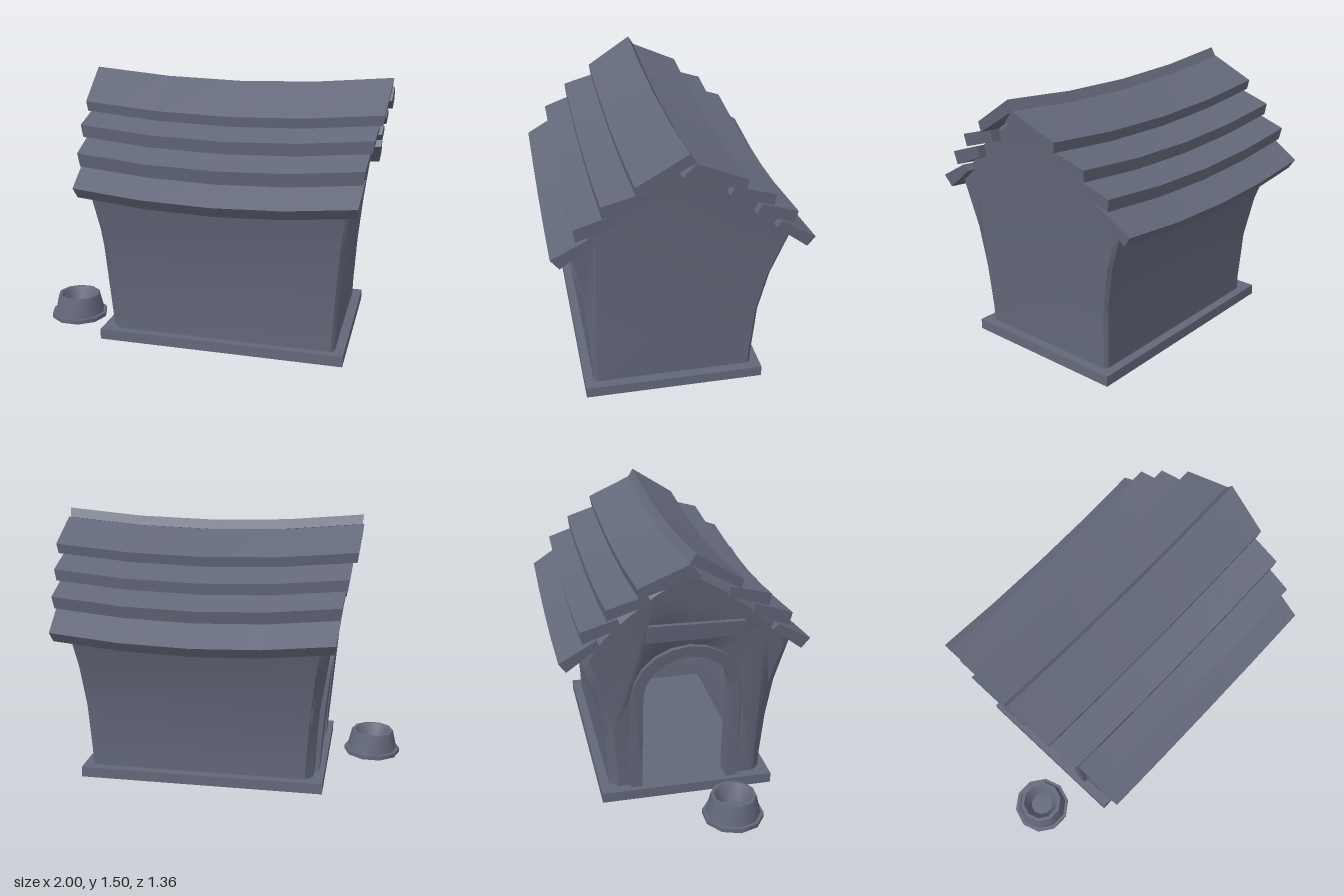
import * as THREE from 'three';
import { toCreasedNormals } from 'three/addons/utils/BufferGeometryUtils.js';

const material = new THREE.MeshStandardMaterial({ color: 0x63687a, side: THREE.DoubleSide });
const MID_X = 0.13;

// Outline of the house as [z, y]: wall profiles and gable slopes
const frontWall = [[0.476, 0], [0.478, 0.15], [0.496, 0.41], [0.526, 0.65], [0.592, 0.92]];
const backWall = [[-0.411, 0], [-0.415, 0.15], [-0.432, 0.43], [-0.48, 0.67], [-0.567, 0.925]];
const frontSlope = [[0.464, 1.08], [0.345, 1.2], [0.2, 1.31]];
const backSlope = [[-0.464, 1.075], [-0.345, 1.19], [-0.2, 1.31]];
const outline = [...frontWall, ...frontSlope, [0, 1.435], ...[...backWall, ...backSlope].reverse()];

// Smooth along curves, sharp at corners
function add(group, name, geometry) {
  const mesh = new THREE.Mesh(toCreasedNormals(geometry, 0.7), material);
  mesh.name = name;
  group.add(mesh);
  return mesh;
}

// Lean the end walls outward, more strongly towards the ridge
function flare(geometry) {
  const p = geometry.attributes.position;
  for (let i = 0; i < p.count; i++) {
    const amount = Math.pow(Math.max(0, p.getY(i)) / 0.9, 1.7);
    const x = p.getX(i);
    p.setX(i, x + (x < MID_X ? -0.083 : 0.06) * amount);
  }
  return geometry;
}

// Extrude a [z, y] outline along x, from x0 to x1, with optional chamfer
function extrudeX(points, x0, x1, chamfer = 0) {
  const shape = new THREE.Shape(points.map(([z, y]) => new THREE.Vector2(z, y)));
  const geometry = new THREE.ExtrudeGeometry(shape, {
    depth: x1 - x0 - 2 * chamfer,
    bevelEnabled: chamfer > 0,
    bevelThickness: chamfer,
    bevelSize: chamfer,
    bevelOffset: -chamfer,
    bevelSegments: 1,
  });
  geometry.rotateY(-Math.PI / 2);
  geometry.translate(x1 - chamfer, 0, 0);
  return flare(geometry);
}

// Doorway line: up one leg, over the arch, down the other
function archPoints(halfWidth, bottom) {
  const centre = 0.015, spring = 0.65, segments = 10;
  const points = [bottom, 0.25, 0.45].map((y) => [centre - halfWidth, y]);
  for (let i = 0; i <= segments; i++) {
    const a = Math.PI * (1 - i / segments);
    points.push([centre + halfWidth * Math.cos(a), spring + halfWidth * Math.sin(a)]);
  }
  [0.45, 0.25, bottom].forEach((y) => points.push([centre + halfWidth, y]));
  return points;
}

// Sagging roof board; corners are [z, y]: outer top, inner top, inner bottom, outer bottom
function roofBoard([outerTop, innerTop, innerBottom, outerBottom], side, halfLength) {
  const geometry = new THREE.BoxGeometry(2, 2, 2, 4, 1, 1);
  const p = geometry.attributes.position;
  for (let i = 0; i < p.count; i++) {
    const u = p.getX(i);
    const top = p.getY(i) > 0;
    const outer = p.getZ(i) * side > 0;
    const [z, y] = outer ? (top ? outerTop : outerBottom) : (top ? innerTop : innerBottom);
    const half = halfLength - (innerTop[1] - y) * 0.13;
    p.setXYZ(i, MID_X + u * half, y - 0.05 * (1 - u * u), z);
  }
  return geometry;
}

export function createModel() {
  const model = new THREE.Group();
  model.name = 'kennel';

  // Floor slab
  add(model, 'floor', new THREE.BoxGeometry(1.4, 0.06, 0.988)).position.set(MID_X, 0.03, 0.03);

  // Long walls
  for (const [name, wall, side] of [['frontWall', frontWall, 1], ['backWall', backWall, -1]]) {
    const inner = wall.map(([z, y]) => [z - side * 0.06, y]).reverse();
    add(model, name, extrudeX([...wall, ...inner], -0.466, 0.759));
  }

  // Gable walls: plain one, and one with the doorway cut out
  add(model, 'plainGable', extrudeX(outline, 0.741, 0.777, 0.0175));
  add(model, 'doorGable', extrudeX([...outline, ...archPoints(0.25, 0)], -0.512, -0.421, 0.045));

  // Arched door frame
  const frame = [...archPoints(0.31, 0.05), ...archPoints(0.245, 0.05).reverse()];
  add(model, 'doorFrame', extrudeX(frame, -0.54, -0.425));

  // Blank board above the door
  const board = [[-0.22, 1.0], [0.3, 1.0], [0.31, 1.09], [-0.21, 1.1]];
  add(model, 'doorBoard', extrudeX(board, -0.54, -0.48));

  // Overlapping roof boards, ridge to eaves
  const halfLengths = [0.86, 0.815, 0.787, 0.775];
  const frontBoards = [
    [[0.27, 1.343], [0.014, 1.504], [-0.018, 1.454], [0.262, 1.287]],
    [[0.432, 1.24], [0.209, 1.3], [0.2, 1.243], [0.424, 1.17]],
    [[0.564, 1.11], [0.353, 1.183], [0.345, 1.12], [0.552, 1.035]],
    [[0.68, 0.944], [0.492, 1.048], [0.464, 1.016], [0.635, 0.883]],
  ];
  const backBoards = [
    [[-0.28, 1.339], [-0.014, 1.454], [0.046, 1.382], [-0.27, 1.283]],
    [[-0.435, 1.223], [-0.221, 1.29], [-0.2, 1.239], [-0.428, 1.16]],
    [[-0.566, 1.1], [-0.373, 1.163], [-0.349, 1.108], [-0.552, 1.032]],
    [[-0.678, 0.928], [-0.484, 1.048], [-0.464, 1.008], [-0.64, 0.872]],
  ];
  const roof = new THREE.Group();
  roof.name = 'roof';
  model.add(roof);
  halfLengths.forEach((half, i) => {
    add(roof, `frontRoofBoard${i + 1}`, roofBoard(frontBoards[i], 1, half));
    add(roof, `backRoofBoard${i + 1}`, roofBoard(backBoards[i], -1, half + 0.005));
  });

  // Food bowl, hollow underneath
  const bowlProfile = [
    [0, 0.05], [0.065, 0.05], [0.1, 0.125], [0.108, 0.138], [0.126, 0.138],
    [0.152, 0.025], [0.17, 0.025], [0.17, 0], [0.152, 0],
  ].map(([r, y]) => new THREE.Vector2(r, y));
  const bowl = new THREE.LatheGeometry(bowlProfile, 10, Math.PI / 2);
  add(model, 'bowl', bowl).position.set(-0.83, 0, 0.22);

  return model;
}
